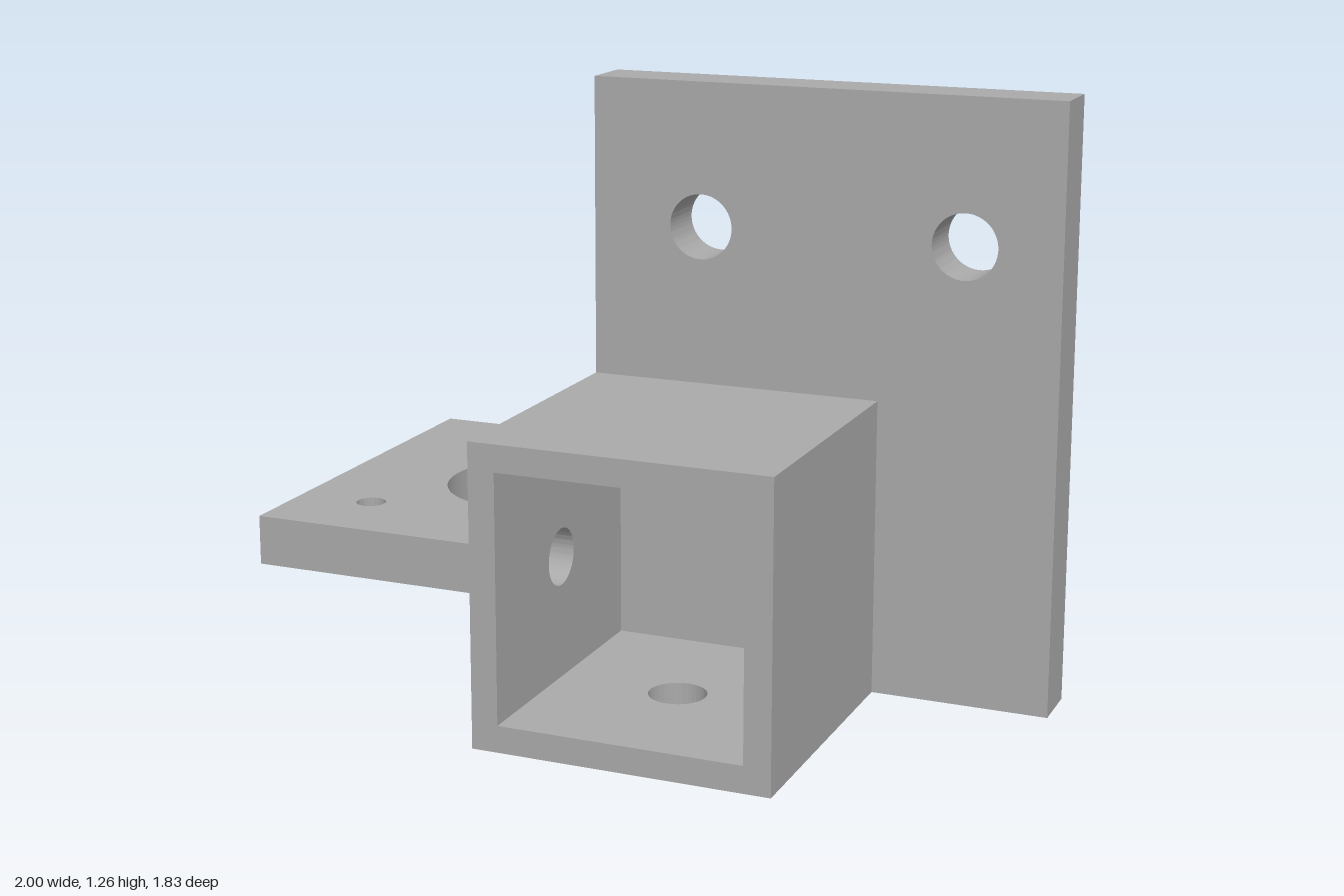
import * as THREE from 'three';
import { toCreasedNormals } from 'three/addons/utils/BufferGeometryUtils.js';

const metal = new THREE.MeshStandardMaterial({ color: 0xaaaaaa });
metal.name = 'grey metal';

// Extruded plate from an outline, with round holes given as [x, y, radius]
function plate(points, holes, depth) {
  const shape = new THREE.Shape(points.map(([x, y]) => new THREE.Vector2(x, y)));
  for (const [x, y, r] of holes) {
    shape.holes.push(new THREE.Path().absarc(x, y, r, 0, Math.PI * 2, true));
  }
  const geo = new THREE.ExtrudeGeometry(shape, { depth, bevelEnabled: false, curveSegments: 48 });
  return toCreasedNormals(geo, Math.PI / 6);
}

const rect = (x0, y0, x1, y1) => [[x0, y0], [x1, y0], [x1, y1], [x0, y1]];

export function createModel() {
  const group = new THREE.Group();
  group.name = 'motorBracket';
  const add = (name, geo) => {
    const mesh = new THREE.Mesh(geo, metal);
    mesh.name = name;
    group.add(mesh);
  };

  const back = -0.917, plateBack = 0.2, plateFront = 0.317, front = 0.917;
  const size = 0.626, wall = 0.056;

  // L-shaped base with a large bore and four screw holes (outline in x, -z)
  const bore = [-0.5, 0.443];
  const baseHoles = [[...bore, 0.232]];
  for (const sx of [-1, 1]) {
    for (const sz of [-1, 1]) baseHoles.push([bore[0] + sx * 0.31, bore[1] + sz * 0.31, 0.036]);
  }
  const outline = [[-1, -0.075], [0, -0.075], [0, -plateBack], [size, -plateBack], [size, -back], [-1, -back]];
  add('basePlate', plate(outline, baseHoles, 0.12).rotateX(-Math.PI / 2));

  // Upright plate with two bolt holes
  const boltHoles = [[0.238, 0.957, 0.068], [0.8, 0.957, 0.068]];
  add('uprightPlate', plate(rect(0, 0, 1, 1.257), boltHoles, plateFront - plateBack).translate(0, 0, plateBack));

  // Square socket: floor and one side are drilled, the other walls are plain
  const midZ = (plateFront + front) / 2, mid = size / 2, r = 0.06;
  add('socketFloor', plate(rect(0, -front, size, -plateFront), [[mid, -midZ, r]], wall).rotateX(-Math.PI / 2));
  add('socketRoof', plate(rect(0, -front, size, -plateFront), [], wall)
    .rotateX(-Math.PI / 2).translate(0, size - wall, 0));
  const side = rect(plateFront, wall, front, size - wall);
  add('socketRightWall', plate(side, [[midZ, mid, r]], wall).rotateY(-Math.PI / 2).translate(wall, 0, 0));
  add('socketLeftWall', plate(side, [], wall).rotateY(-Math.PI / 2).translate(size, 0, 0));

  return group;
}
